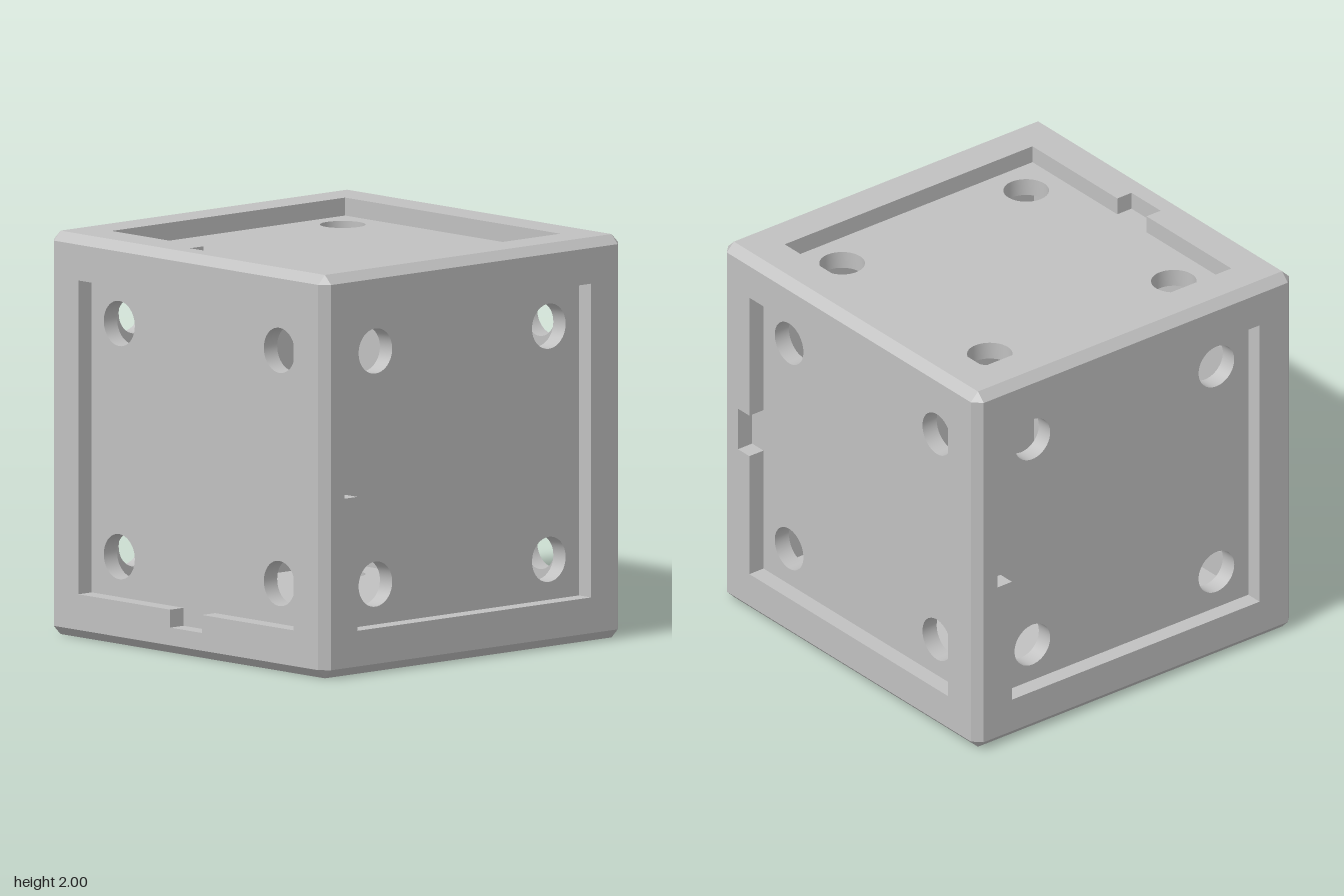
import * as THREE from 'three';
import { toCreasedNormals } from 'three/addons/utils/BufferGeometryUtils.js';

const OUTER = 1, FLAT = 0.955;          // half size, and half size of the flat inside the chamfer
const FLOOR = 0.911, INNER = 0.822;     // recess floor and cavity wall, measured from the centre
const RECESS = 0.778, NOTCH = 0.867, NOTCH_HALF = 0.114;
const HOLE_R = 0.112, HOLE_AT = 0.578;

const square = (h) => [[-h, -h], [h, -h], [h, h], [-h, h]].map(([x, y]) => new THREE.Vector2(x, y));

// Recess outline with a notch in its lower side, counter-clockwise
const recessOutline = [
  [-RECESS, -RECESS], [-NOTCH_HALF, -RECESS], [-NOTCH_HALF, -NOTCH], [NOTCH_HALF, -NOTCH],
  [NOTCH_HALF, -RECESS], [RECESS, -RECESS], [RECESS, RECESS], [-RECESS, RECESS],
].map(([x, y]) => new THREE.Vector2(x, y));

function circle(cx, cy, n = 48) {
  return Array.from({ length: n }, (_, i) => {
    const a = (i / n) * Math.PI * 2;
    return new THREE.Vector2(cx + HOLE_R * Math.cos(a), cy + HOLE_R * Math.sin(a));
  });
}
const holes = square(HOLE_AT).map((p) => circle(p.x, p.y));

// Flat plate at height z with cut-outs
function plate(outline, cuts, z) {
  const shape = new THREE.Shape(outline);
  shape.holes = cuts.map((c) => new THREE.Path(c));
  return new THREE.ShapeGeometry(shape).translate(0, 0, z);
}

function fromTriangles(points) {
  const g = new THREE.BufferGeometry().setFromPoints(points);
  g.computeVertexNormals();
  return g;
}

// Wall along a closed outline, facing inwards
function wall(outline, z0, z1) {
  const pts = [];
  outline.forEach((p, i) => {
    const q = outline[(i + 1) % outline.length];
    const [p0, p1, q0, q1] = [[p, z0], [p, z1], [q, z0], [q, z1]]
      .map(([v, z]) => new THREE.Vector3(v.x, v.y, z));
    pts.push(p0, q1, q0, p0, p1, q1);
  });
  return toCreasedNormals(fromTriangles(pts), 0.5);
}

// Twelve chamfered edges and eight corner triangles
function chamfers() {
  const pts = [];
  const tri = (a, b, c) => {
    const n = b.clone().sub(a).cross(c.clone().sub(a));
    if (n.dot(a) > 0) pts.push(a, b, c);
    else pts.push(a, c, b);
  };
  const vec = (axis, a, b, c) => {
    const v = new THREE.Vector3();
    v.setComponent(axis, a).setComponent((axis + 1) % 3, b).setComponent((axis + 2) % 3, c);
    return v;
  };
  for (const s of [-1, 1]) for (const t of [-1, 1]) {
    for (let axis = 0; axis < 3; axis++) {
      const a = vec(axis, -FLAT, s * OUTER, t * FLAT), b = vec(axis, FLAT, s * OUTER, t * FLAT);
      const c = vec(axis, FLAT, s * FLAT, t * OUTER), d = vec(axis, -FLAT, s * FLAT, t * OUTER);
      tri(a, b, c);
      tri(a, c, d);
    }
    for (const r of [-1, 1]) {
      tri(vec(0, r * OUTER, s * FLAT, t * FLAT), vec(0, r * FLAT, s * OUTER, t * FLAT),
        vec(0, r * FLAT, s * FLAT, t * OUTER));
    }
  }
  return fromTriangles(pts);
}

export function createModel() {
  const model = new THREE.Group();
  model.name = 'hollowCube';
  const grey = new THREE.MeshStandardMaterial({ color: 0xc0c0c0 });
  grey.name = 'grey';

  const add = (parent, name, geometry) => {
    const mesh = new THREE.Mesh(geometry, grey);
    mesh.name = name;
    parent.add(mesh);
  };

  // Inner lining: a plate turned to face the cavity
  const lining = plate(square(INNER), holes, 0).rotateY(Math.PI).translate(0, 0, INNER);
  const parts = {
    frame: plate(square(FLAT), [recessOutline], OUTER),
    recessWall: wall(recessOutline, FLOOR, OUTER),
    panel: plate(recessOutline, holes, FLOOR),
    lining,
  };
  const holeWalls = holes.map((h) => wall(h, INNER, FLOOR));

  // Outward normal of each side, and the direction pointing away from its notch
  const sides = [
    ['front', [0, 0, 1], [0, 1, 0]],
    ['back', [0, 0, -1], [-1, 0, 0]],
    ['left', [1, 0, 0], [0, 0, -1]],
    ['right', [-1, 0, 0], [0, 0, 1]],
    ['top', [0, 1, 0], [0, 0, -1]],
    ['bottom', [0, -1, 0], [0, 0, 1]],
  ];
  for (const [name, normal, up] of sides) {
    const side = new THREE.Group();
    side.name = name + 'Side';
    const n = new THREE.Vector3(...normal), v = new THREE.Vector3(...up);
    const u = v.clone().cross(n);
    side.quaternion.setFromRotationMatrix(new THREE.Matrix4().makeBasis(u, v, n));
    side.position.y = 1;
    for (const part in parts) add(side, part, parts[part]);
    holeWalls.forEach((g) => add(side, 'holeWall', g));
    model.add(side);
  }

  const edges = new THREE.Group();
  edges.name = 'edges';
  edges.position.y = 1;
  add(edges, 'chamfers', chamfers());
  model.add(edges);
  return model;
}
